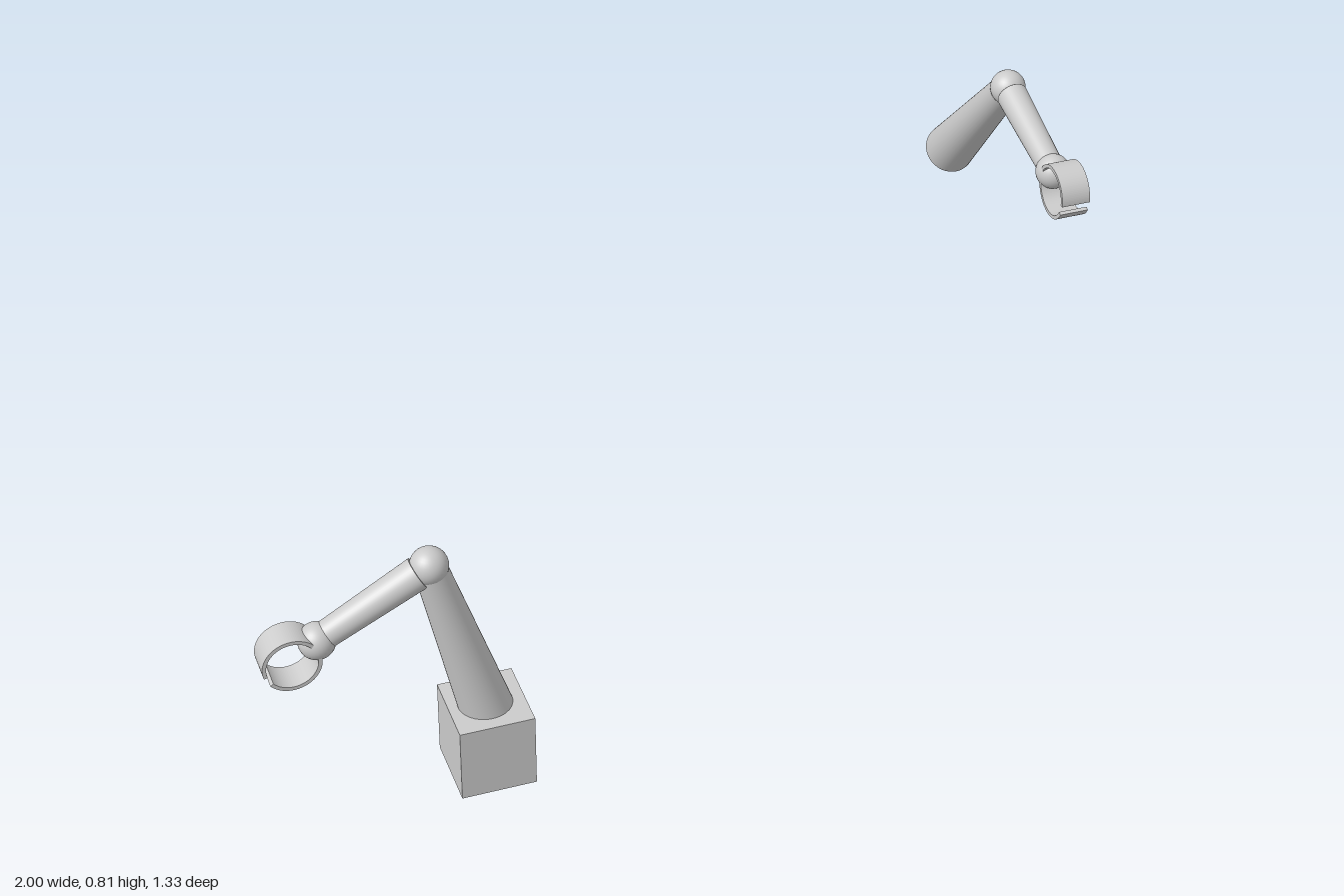
import * as THREE from 'three';

const material = new THREE.MeshStandardMaterial({ color: 0xcccccc });

function part(name, geometry, parent) {
  const mesh = new THREE.Mesh(geometry, material);
  mesh.name = name;
  parent.add(mesh);
  return mesh;
}

// Tapered limb between two points in the arm's own xy plane
function limb(name, a, b, rStart, rEnd, parent) {
  const dir = b.clone().sub(a);
  const mesh = part(name, new THREE.CylinderGeometry(rEnd, rStart, dir.length(), 40), parent);
  mesh.position.copy(a).add(b).multiplyScalar(0.5);
  mesh.quaternion.setFromUnitVectors(new THREE.Vector3(0, 1, 0), dir.normalize());
}

function joint(name, p, r, parent) {
  part(name, new THREE.SphereGeometry(r, 32, 20), parent).position.copy(p);
}

// Open ring, its gap pointing along local +x
function clawGeometry(outer, inner, width, halfGap) {
  const shape = new THREE.Shape();
  shape.absarc(0, 0, outer, halfGap, Math.PI * 2 - halfGap, false);
  shape.absarc(0, 0, inner, Math.PI * 2 - halfGap, halfGap, true);
  shape.closePath();
  const geometry = new THREE.ExtrudeGeometry(shape, { depth: width, bevelEnabled: false, curveSegments: 48 });
  return geometry.translate(0, 0, -width / 2);
}

// Arm drawn in a plane: points are [reach, height], reaching toward local +x
function createArm(name, footXY, elbowXY, wristXY) {
  const arm = new THREE.Group();
  arm.name = name;
  const [foot, elbow, wrist] = [footXY, elbowXY, wristXY].map(([x, y]) => new THREE.Vector3(x, y, 0));
  const upperDir = elbow.clone().sub(foot).normalize();
  const foreDir = wrist.clone().sub(elbow).normalize();

  limb('upperArm', foot, elbow.clone().addScaledVector(upperDir, -0.014), 0.057, 0.034, arm);
  joint('elbow', elbow, 0.039, arm);
  limb('forearm', elbow.clone().addScaledVector(foreDir, 0.026), wrist, 0.034, 0.028, arm);
  joint('wrist', wrist, 0.038, arm);

  // Claw sits just past the wrist, slightly above the forearm axis
  const claw = part('claw', clawGeometry(0.06, 0.052, 0.064, 0.2), arm);
  const normal = new THREE.Vector3(-foreDir.y, foreDir.x, 0);
  claw.position.copy(wrist).addScaledVector(foreDir, 0.062).addScaledVector(normal, 0.007);
  claw.rotation.z = Math.atan2(foreDir.y, foreDir.x);
  return arm;
}

export function createModel() {
  const model = new THREE.Group();
  model.name = 'robotArms';

  // Pedestal under the standing arm
  part('base', new THREE.BoxGeometry(0.156, 0.168, 0.162), model).position.set(-0.548, 0.084, 0.586);

  // Standing arm reaches toward -x
  const standing = createArm('standingArm', [0.537, 0.117], [0.652, 0.543], [0.882, 0.417]);
  standing.rotation.y = Math.PI;
  standing.position.z = 0.586;
  model.add(standing);

  // Free arm reaches toward +z
  const free = createArm('freeArm', [-0.623, 0.442], [-0.333, 0.774], [-0.079, 0.71]);
  free.rotation.y = -Math.PI / 2;
  free.position.x = 0.941;
  model.add(free);

  return model;
}
